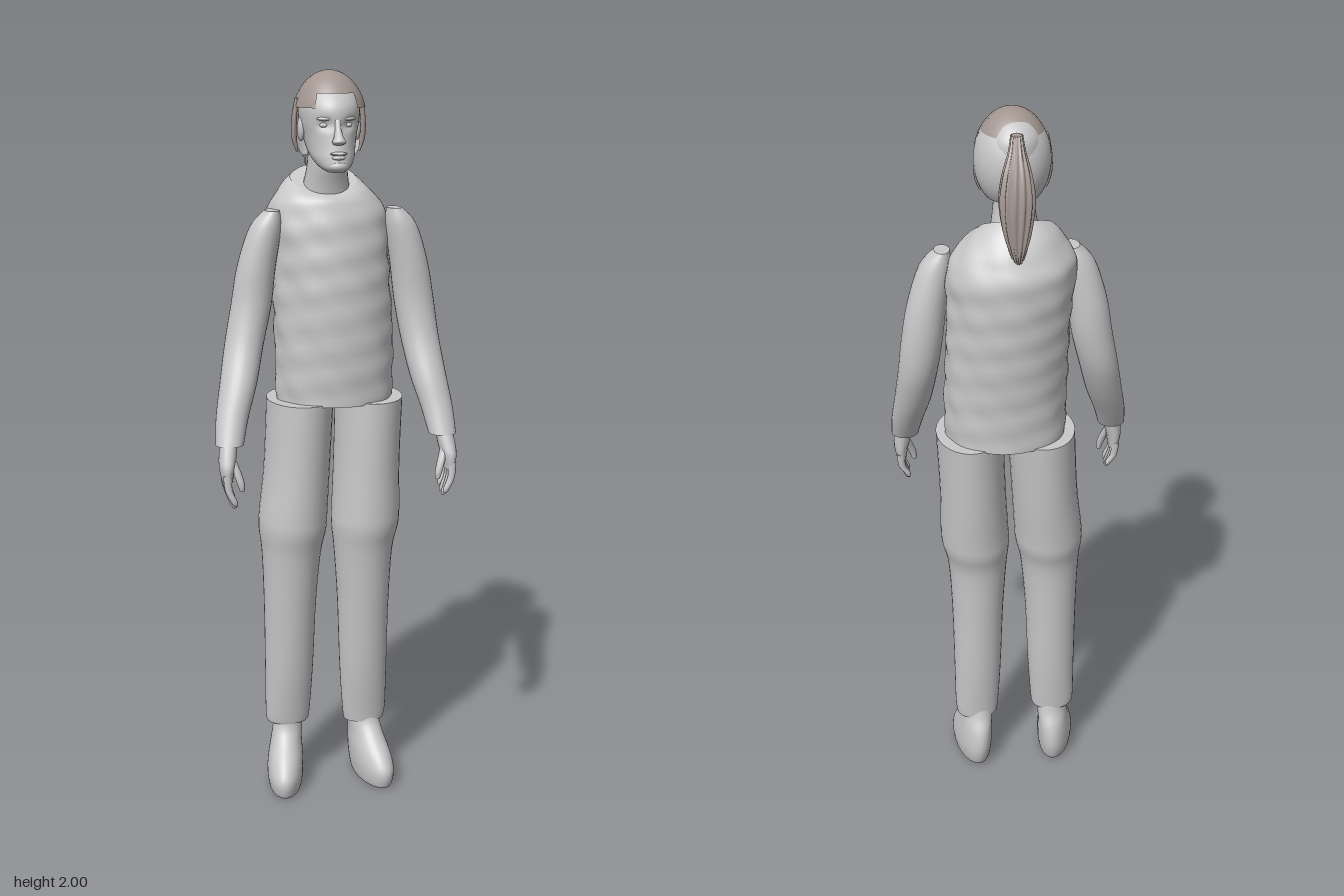
import * as THREE from 'three';

const mat = (name, color, side = THREE.FrontSide) => {
  const m = new THREE.MeshStandardMaterial({ color, side });
  m.name = name;
  return m;
};

// Spline through rows of numbers, component by component
function smoothRows(rows, steps) {
  const out = [];
  for (let i = 0; i < rows.length - 1; i++) {
    const p = [rows[Math.max(i - 1, 0)], rows[i], rows[i + 1], rows[Math.min(i + 2, rows.length - 1)]];
    for (let s = 0; s < steps; s++) {
      const t = s / steps;
      out.push(p[1].map((b, k) => {
        const a = p[0][k], c = p[2][k], d = p[3][k];
        return b + 0.5 * t * (c - a + t * (2 * a - 5 * b + 4 * c - d + t * (3 * (b - c) + d - a)));
      }));
    }
  }
  out.push(rows[rows.length - 1]);
  return out;
}

// Closed skin over elliptical rings [y, x, z, radiusX, radiusZ, tilt], bottom to top
function loft(rows, { n = 28, steps = 4, warp } = {}) {
  const rings = smoothRows(rows.map(r => [...r, 0].slice(0, 6)), steps);
  const pos = [], idx = [];
  rings.forEach(([y, x, z, rx, rz, tilt]) => {
    for (let j = 0; j < n; j++) {
      const a = j / n * Math.PI * 2;
      const v = new THREE.Vector3(x + rx * Math.cos(a), y - tilt * Math.sin(a), z + rz * Math.sin(a));
      if (warp) warp(v, a, x, z);
      pos.push(v.x, v.y, v.z);
    }
  });
  for (let i = 0; i < rings.length - 1; i++) for (let j = 0; j < n; j++) {
    const a = i * n + j, b = i * n + (j + 1) % n;
    idx.push(a, a + n, b, b, a + n, b + n);
  }
  // Flat end caps with their own vertices
  [0, rings.length - 1].forEach((i, top) => {
    const base = pos.length / 3, c = [0, 0, 0];
    for (let j = 0; j < n; j++) for (let k = 0; k < 3; k++) {
      const q = pos[(i * n + j) * 3 + k];
      pos.push(q);
      c[k] += q / n;
    }
    pos.push(...c);
    for (let j = 0; j < n; j++) {
      const a = base + j, b = base + (j + 1) % n;
      idx.push(base + n, top ? b : a, top ? a : b);
    }
  });
  const g = new THREE.BufferGeometry();
  g.setAttribute('position', new THREE.Float32BufferAttribute(pos, 3));
  g.setIndex(idx);
  g.computeVertexNormals();
  return g;
}

export function createModel() {
  const model = new THREE.Group();
  model.name = 'standingFigure';
  const grey = mat('lightGrey', 0xc8c8c8);
  const greyShell = mat('lightGreyShell', 0xc8c8c8, THREE.DoubleSide);
  const brown = mat('hairBrown', 0xa39691, THREE.DoubleSide);
  const add = (name, geo, material = grey) => {
    const m = new THREE.Mesh(geo, material);
    m.name = name;
    model.add(m);
    return m;
  };
  const ball = (name, x, y, z, rx, ry, rz, material) => {
    const m = add(name, new THREE.SphereGeometry(1, 16, 12), material);
    m.position.set(x, y, z);
    m.scale.set(rx, ry, rz);
    return m;
  };

  // Shirt with soft wrinkles and a collar that dips at the front
  add('torso', loft([
    [1.13, 0.025, -0.03, 0.16, 0.125], [1.25, 0.025, -0.03, 0.16, 0.13],
    [1.40, 0.02, -0.037, 0.16, 0.137], [1.52, 0.015, -0.045, 0.16, 0.138],
    [1.61, 0.01, -0.052, 0.163, 0.132], [1.66, 0.004, -0.05, 0.145, 0.117],
    [1.70, 0, -0.04, 0.115, 0.092, 0.02], [1.72, -0.003, -0.034, 0.088, 0.066, 0.033]
  ], {
    n: 56, steps: 7,
    warp: (v, a, x, z) => {
      const k = 1 + 0.02 * Math.sin(5 * a + 31 * v.y) * Math.sin(47 * v.y - 3 * a) + 0.008 * Math.sin(9 * a - 60 * v.y);
      v.x = x + (v.x - x) * k;
      v.z = z + (v.z - z) * k;
    }
  }));

  // Neck and head
  add('neck', loft([
    [1.66, 0, -0.03, 0.07, 0.06], [1.71, 0, -0.018, 0.06, 0.058],
    [1.76, 0, -0.005, 0.052, 0.06], [1.82, 0, 0, 0.05, 0.06]
  ]));
  add('head', loft([
    [1.750, 0, 0.105, 0.022, 0.028], [1.762, 0, 0.088, 0.04, 0.053],
    [1.785, 0, 0.06, 0.055, 0.078], [1.81, 0, 0.035, 0.062, 0.098],
    [1.84, 0, 0.022, 0.068, 0.106], [1.87, 0, 0.018, 0.075, 0.107],
    [1.91, 0, 0.014, 0.078, 0.107], [1.945, 0, 0.004, 0.068, 0.09],
    [1.975, 0, 0, 0.045, 0.055], [1.99, 0, 0, 0.015, 0.018]
  ], {
    n: 48, steps: 5,
    // Pressed-in eye sockets
    warp: v => {
      if (v.z > 0.05) v.z -= 0.012 * Math.exp(-(((Math.abs(v.x) - 0.03) / 0.016) ** 2) - ((v.y - 1.866) / 0.013) ** 2);
    }
  }));
  add('nose', loft([
    [1.819, 0, 0.132, 0.012, 0.012], [1.826, 0, 0.139, 0.018, 0.02],
    [1.836, 0, 0.136, 0.013, 0.02], [1.855, 0, 0.126, 0.008, 0.013],
    [1.88, 0, 0.119, 0.008, 0.006]
  ], { n: 16 }));
  ball('upperLip', 0, 1.797, 0.135, 0.022, 0.005, 0.012);
  ball('lowerLip', 0, 1.787, 0.133, 0.018, 0.006, 0.012);
  ball('chin', 0, 1.765, 0.125, 0.025, 0.015, 0.02);
  for (const s of [-1, 1]) {
    ball('eye', s * 0.03, 1.866, 0.101, 0.012, 0.007, 0.009);
    ball('brow', s * 0.031, 1.882, 0.108, 0.02, 0.005, 0.009).rotation.y = s * 0.35;
    ball('ear', s * 0.073, 1.853, 0.018, 0.01, 0.032, 0.019);
  }

  // Hair: brown crown, grey shell behind, strands at the temples
  const cap = (name, material, rz, phi, phiLen, theta, thetaLen) => {
    const m = add(name, new THREE.SphereGeometry(1, 24, 12, phi, phiLen, theta, thetaLen), material);
    m.position.set(0.002, 1.872, 0.01);
    m.scale.set(0.096, 0.127, rz);
  };
  const P = Math.PI;
  cap('crownBack', brown, 0.106, P, P, 0, 0.3 * P);
  cap('backShell', greyShell, 0.106, P, P, 0.3 * P, 0.45 * P);
  cap('crownFront', brown, 0.114, 0, P, 0, 0.31 * P);
  for (const start of [0, 0.7 * P]) cap('templeHair', brown, 0.114, start, 0.3 * P, 0.31 * P, 0.1 * P);
  for (const s of [-1, 1]) {
    add('sideStrand', loft([
      [1.795, s * 0.082, 0.012, 0.003, 0.004], [1.83, s * 0.09, 0.012, 0.007, 0.01],
      [1.88, s * 0.09, 0.014, 0.007, 0.014], [1.93, s * 0.084, 0.015, 0.004, 0.012]
    ], { n: 10 }), brown);
  }
  // Ponytail with strand ridges
  add('ponytail', loft([
    [1.65, 0.005, -0.155, 0.004, 0.004], [1.69, 0.006, -0.153, 0.018, 0.016],
    [1.75, 0.007, -0.148, 0.034, 0.025], [1.82, 0.007, -0.141, 0.041, 0.03],
    [1.88, 0.006, -0.13, 0.034, 0.027], [1.93, 0.004, -0.112, 0.02, 0.018],
    [1.962, 0.002, -0.087, 0.014, 0.014]
  ], {
    n: 64, steps: 5,
    warp: (v, a, x, z) => {
      const k = 1 + 0.1 * Math.cos(12 * a + 9 * v.y);
      v.x = x + (v.x - x) * k;
      v.z = z + (v.z - z) * k;
    }
  }), brown);

  for (const s of [-1, 1]) {
    const side = s > 0 ? 'left' : 'right';
    // The left limbs sit slightly further out near the body
    const place = (rows, shift, y0, y1) => rows.map(([y, x, ...rest]) =>
      [y, s * x + (s > 0 ? shift * THREE.MathUtils.clamp((y - y0) / (y1 - y0), 0, 1) : 0), ...rest]);

    // Sleeve
    add(side + 'Arm', loft(place([
      [1.055, 0.288, 0.125, 0.037, 0.037], [1.12, 0.275, 0.092, 0.043, 0.045],
      [1.20, 0.252, 0.055, 0.049, 0.054], [1.30, 0.228, 0.014, 0.052, 0.055],
      [1.40, 0.205, -0.003, 0.054, 0.053], [1.50, 0.19, -0.004, 0.051, 0.052],
      [1.60, 0.166, 0, 0.042, 0.045], [1.645, 0.148, 0, 0.02, 0.032]
    ], 0.033, 1.06, 1.4)));

    // Hand with four fingers and a thumb
    add(side + 'Palm', loft([
      [0.965, s * 0.3, 0.15, 0.014, 0.034], [1.0, s * 0.3, 0.148, 0.02, 0.038],
      [1.03, s * 0.296, 0.14, 0.023, 0.033], [1.08, s * 0.288, 0.125, 0.022, 0.024]
    ], { n: 16 }));
    for (let f = 0; f < 4; f++) {
      const z = 0.122 + f * 0.018, tip = [0.91, 0.897, 0.893, 0.903][f];
      add(side + 'Finger', loft([
        [tip, s * 0.283, z + 0.005, 0.005, 0.005], [tip + 0.012, s * 0.287, z + 0.005, 0.009, 0.009],
        [0.945, s * 0.3, z + 0.003, 0.01, 0.009], [0.985, s * 0.303, z, 0.011, 0.01]
      ], { n: 10, steps: 3 }));
    }
    add(side + 'Thumb', loft([
      [0.94, s * 0.264, 0.172, 0.006, 0.006], [0.96, s * 0.267, 0.171, 0.01, 0.01],
      [0.99, s * 0.276, 0.163, 0.011, 0.012], [1.02, s * 0.288, 0.15, 0.012, 0.014]
    ], { n: 10, steps: 3 }));

    // Trouser leg, wide at the thigh with a fold above the knee
    add(side + 'Leg', loft(place([
      [s > 0 ? 0.17 : 0.185, 0.112, -0.024, 0.058, 0.042], [0.21, 0.112, -0.023, 0.063, 0.046],
      [0.35, 0.108, -0.018, 0.068, 0.062], [0.55, 0.105, -0.012, 0.073, 0.077],
      [0.70, 0.101, -0.008, 0.082, 0.09], [0.77, 0.097, -0.01, 0.093, 0.106],
      [0.82, 0.094, -0.012, 0.094, 0.11], [0.95, 0.082, -0.02, 0.09, 0.117],
      [1.135, 0.071, -0.027, 0.09, 0.126]
    ], 0.05, 0.68, 1.1), { n: 36, steps: 5 }));

    // Rounded shoe, toe turned slightly outward
    add(side + 'Shoe', loft([
      [0, s * 0.125, 0.018, 0.038, 0.088], [0.01, s * 0.125, 0.016, 0.047, 0.102],
      [0.05, s * 0.125, 0.012, 0.052, 0.112], [0.09, s * 0.123, -0.002, 0.05, 0.1],
      [0.13, s * 0.12, -0.02, 0.045, 0.074], [0.17, s * 0.116, -0.026, 0.043, 0.048],
      [0.22, s * 0.114, -0.024, 0.04, 0.038]
    ], { n: 32, warp: v => { v.x += s * 0.15 * v.z; } }));
  }
  return model;
}
